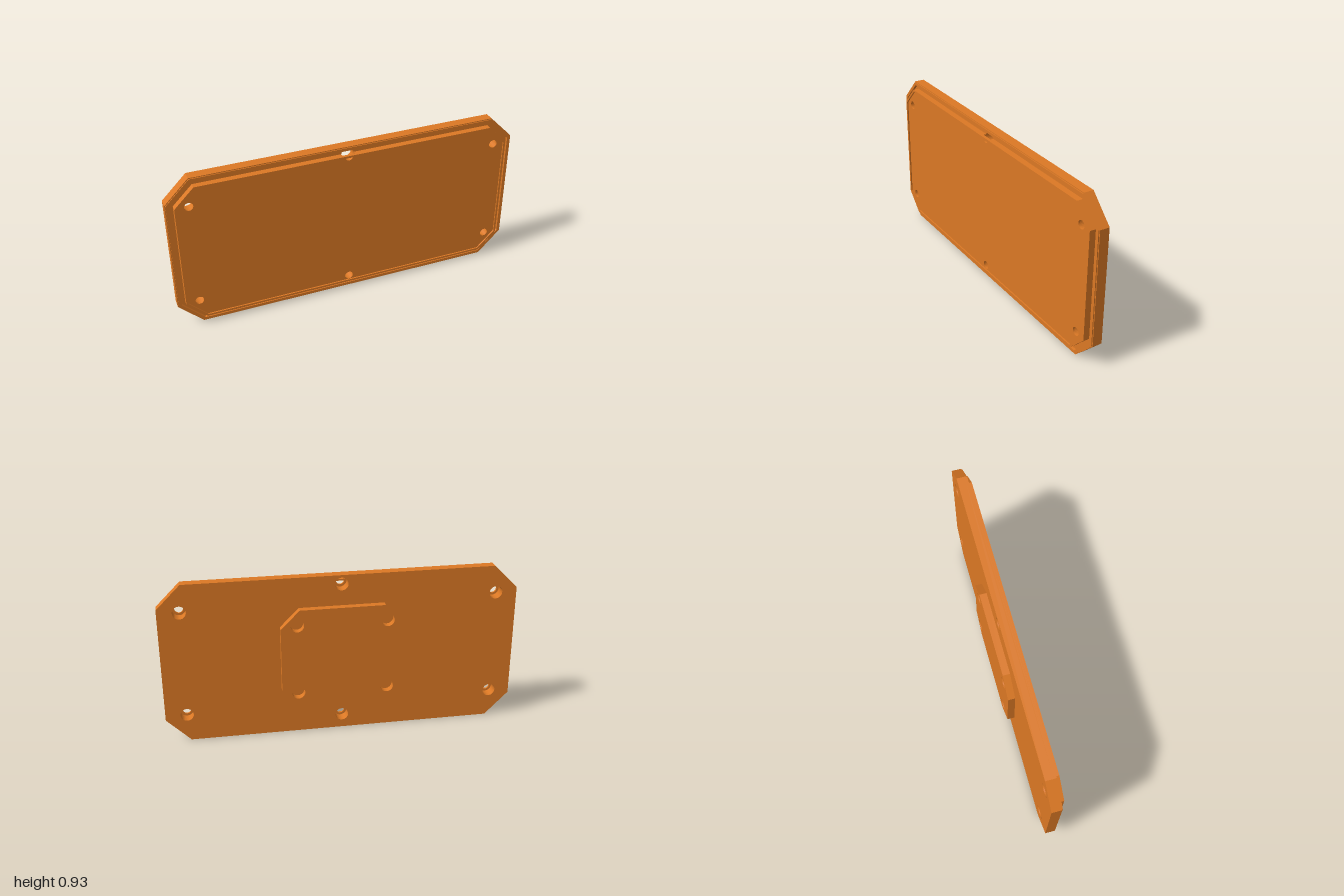
import * as THREE from 'three';

const CY = 0.4665; // height of the plate centre

export function createModel() {
  const group = new THREE.Group();
  const orange = new THREE.MeshStandardMaterial({ color: 0xdb7824 });

  // Octagon (rectangle with cut corners) shrunk evenly by d
  const octagon = (w, h, cut, d = 0) => {
    const x = w / 2 - d, y = h / 2 - d, c = cut - d * (2 - Math.SQRT2);
    return [[x, -y + c], [x, y - c], [x - c, y], [-x + c, y],
      [-x, y - c], [-x, -y + c], [-x + c, -y], [x - c, -y]]
      .map(([a, b]) => new THREE.Vector2(a, b + CY));
  };
  const plate = (d) => octagon(2, 0.933, 0.135, d);

  // Round hole, optionally cut flat at yMax
  const circle = (x, y, r, yMax = 9) => {
    const pts = [];
    for (let i = 0; i < 32; i++) {
      const a = (i / 32) * Math.PI * 2;
      pts.push(new THREE.Vector2(x + r * Math.cos(a), Math.min(yMax, y + r * Math.sin(a))));
    }
    return pts;
  };

  // Slab between two depths, with holes
  const slab = (name, outline, holes, z0, z1) => {
    const shape = new THREE.Shape(outline);
    holes.forEach((h) => shape.holes.push(new THREE.Path(h)));
    const geo = new THREE.ExtrudeGeometry(shape, { depth: z1 - z0, bevelEnabled: false });
    geo.translate(0, 0, z0);
    const mesh = new THREE.Mesh(geo, orange);
    mesh.name = name;
    group.add(mesh);
  };

  const topHole = [0, 0.882];
  const screws = [[-0.88, 0.16], [0.88, 0.16], [-0.88, 0.775], [0.88, 0.775], [0, 0.082]];
  const bores = screws.map(([x, y]) => circle(x, y, 0.037));
  const drills = screws.map(([x, y]) => circle(x, y, 0.024));

  // Main plate with counterbores open to the back
  slab('mainPlate', plate(0), [...bores, circle(...topHole, 0.037)], -0.02, 0.025);

  // Raised edge and its slightly inset lip, leaving a groove inside
  slab('outerEdge', plate(0), [plate(0.022)], 0.025, 0.035);
  slab('outerLip', plate(0.005), [plate(0.022)], 0.035, 0.04);

  // Panel base, notched where the top counterbore breaks through its edge
  const base = plate(0.044);
  const edgeY = base[2].y, rise = Math.asin((edgeY - topHole[1]) / 0.037);
  const notch = [];
  for (let i = 0; i <= 16; i++) {
    const a = rise - (i / 16) * (Math.PI + 2 * rise);
    notch.push(new THREE.Vector2(0.037 * Math.cos(a), topHole[1] + 0.037 * Math.sin(a)));
  }
  base.splice(3, 0, ...notch);
  slab('panelBase', base, bores, 0.025, 0.042);

  // Front panel and the low rim around it
  slab('frontPanel', plate(0.044), [...drills, circle(...topHole, 0.024, 0.879)], 0.042, 0.052);
  slab('frontRim', plate(0.044), [plate(0.056)], 0.052, 0.06);

  // Mounting block on the back with four blind holes
  const mountHoles = [];
  for (const x of [-0.253, 0.253]) {
    for (const y of [-0.203, 0.203]) mountHoles.push(circle(x, CY + y, 0.037));
  }
  slab('rearMount', octagon(0.69, 0.585, 0.106), mountHoles, -0.06, -0.02);

  return group;
}
